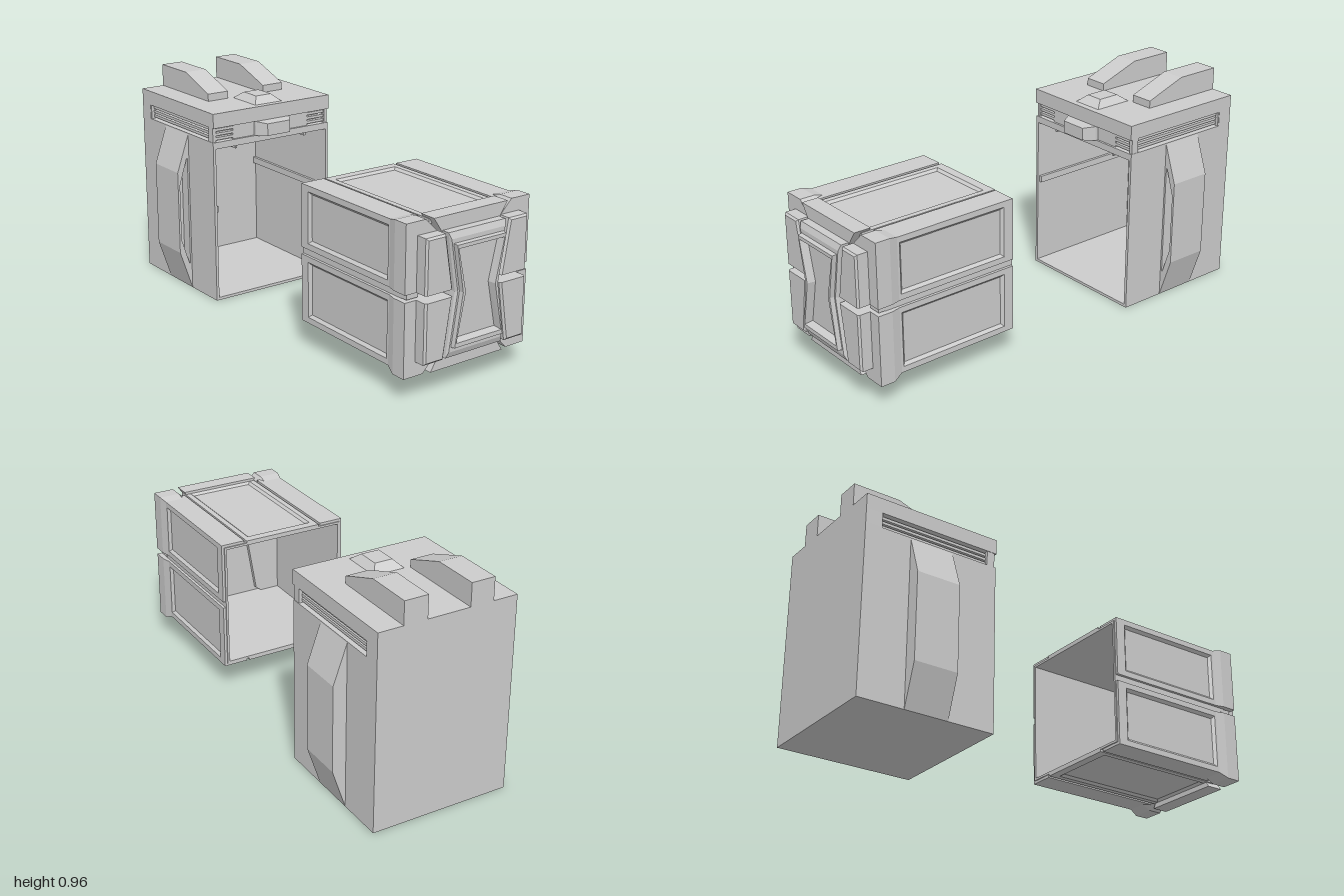
import * as THREE from 'three';

const material = new THREE.MeshStandardMaterial({ color: 0xcccccc });

// Closed solid through rings of equal point count; each ring is { z, pts }.
function loft(name, rings) {
  const area = rings[0].pts.reduce((a, p, i, all) => {
    const q = all[(i + 1) % all.length];
    return a + p[0] * q[1] - q[0] * p[1];
  }, 0);
  const loops = rings.map(({ z, pts }) => {
    const ordered = area < 0 ? [...pts].reverse() : pts;
    return ordered.map(([x, y]) => new THREE.Vector3(x, y, z));
  });
  const out = [];
  const tri = (a, b, c) => out.push(a, b, c);
  const n = loops[0].length;
  for (let k = 0; k < loops.length - 1; k++) {
    for (let i = 0; i < n; i++) {
      const j = (i + 1) % n, a = loops[k], b = loops[k + 1];
      tri(a[i], a[j], b[j]);
      tri(a[i], b[j], b[i]);
    }
  }
  const cap = (loop, flip) => {
    const flat = loop.map((v) => new THREE.Vector2(v.x, v.y));
    for (const [a, b, c] of THREE.ShapeUtils.triangulateShape(flat, [])) {
      if (flip) tri(loop[a], loop[c], loop[b]);
      else tri(loop[a], loop[b], loop[c]);
    }
  };
  cap(loops[0], true);
  cap(loops[loops.length - 1], false);
  const geometry = new THREE.BufferGeometry().setFromPoints(out);
  geometry.computeVertexNormals();
  const mesh = new THREE.Mesh(geometry, material);
  mesh.name = name;
  return mesh;
}

const rect = (x0, x1, y0, y1) => [[x0, y0], [x1, y0], [x1, y1], [x0, y1]];

function box(name, x0, x1, y0, y1, z0, z1) {
  const mesh = new THREE.Mesh(new THREE.BoxGeometry(Math.abs(x1 - x0), Math.abs(y1 - y0), z1 - z0), material);
  mesh.position.set((x0 + x1) / 2, (y0 + y1) / 2, (z0 + z1) / 2);
  mesh.name = name;
  return mesh;
}

// Slab facing +z whose face sinks into a bevelled recess.
function recessedPanel(name, w, h, t, rimX, rimY, depth) {
  const r = (dx, dy) => rect(-w / 2 + dx, w / 2 - dx, -h / 2 + dy, h / 2 - dy);
  return loft(name, [
    { z: -t, pts: r(0, 0) },
    { z: 0, pts: r(0, 0) },
    { z: 0, pts: r(rimX, rimY) },
    { z: -depth, pts: r(rimX + 0.012, rimY + 0.012) },
  ]);
}

// Waisted outline, symmetric in x.
const hourglass = (xEnd, xWaist, y0, y1) => [
  [-xEnd, y0], [xEnd, y0], [xWaist, 0.425], [xEnd, y1], [-xEnd, y1], [-xWaist, 0.425],
];

function createHousing() {
  const g = new THREE.Group();
  g.name = 'housing';

  // Open-fronted case
  g.add(loft('case', [
    { z: -1, pts: rect(-0.31, 0.31, 0, 0.735) },
    { z: -0.39, pts: rect(-0.31, 0.31, 0, 0.735) },
    { z: -0.39, pts: rect(-0.297, 0.297, 0.013, 0.705) },
    { z: -0.975, pts: rect(-0.297, 0.297, 0.013, 0.705) },
  ]));

  // Neck, ribs and lid
  g.add(box('neck', -0.2, 0.2, 0.73, 0.805, -1, -0.4));
  g.add(box('backNeck', -0.31, 0.31, 0.73, 0.805, -1, -0.93));
  g.add(box('lid', -0.31, 0.31, 0.8, 0.865, -1, -0.385));
  const tab = loft('frontTab', [
    { z: -0.42, pts: rect(-0.09, 0.09, 0.735, 0.8) },
    { z: -0.385, pts: rect(-0.09, 0.09, 0.735, 0.8) },
    { z: -0.335, pts: rect(-0.06, 0.06, 0.74, 0.795) },
  ]);
  g.add(tab);

  // Raised button on the lid
  const button = loft('lidButton', [
    { z: 0, pts: rect(-0.07, 0.07, -0.09, 0.09) },
    { z: 0.03, pts: rect(-0.04, 0.04, -0.05, 0.05) },
  ]);
  button.rotation.x = -Math.PI / 2;
  button.position.set(0, 0.865, -0.505);
  g.add(button);

  // Scoop side profile, drawn as (-z, y)
  const scoop = new THREE.Shape([[0.6, 0.86], [1, 0.86], [1, 0.965], [0.79, 0.965], [0.6, 0.898]]
    .map(([x, y]) => new THREE.Vector2(x, y)));

  for (const s of [-1, 1]) {
    for (let i = 0; i < 3; i++) {
      const y = 0.742 + i * 0.02;
      g.add(box('neckRib', s * 0.2, s * 0.295, y, y + 0.012, -0.94, -0.4));
    }
    g.add(box('neckSide', s * 0.2, s * 0.275, 0.73, 0.805, -0.94, -0.42));
    for (const z of [-0.41, -0.94]) g.add(box('neckPost', s * 0.292, s * 0.308, 0.73, 0.805, z - 0.02, z + 0.015));

    const scoopMesh = new THREE.Mesh(
      new THREE.ExtrudeGeometry(scoop, { depth: 0.105, bevelEnabled: false }), material);
    scoopMesh.name = 'lidScoop';
    scoopMesh.rotation.y = Math.PI / 2;
    scoopMesh.position.x = s > 0 ? 0.095 : -0.2;
    g.add(scoopMesh);

    // Side pod with a sunken front vent
    const outer = [[0.305, 0], [0.31, 0], [0.37, 0.18], [0.37, 0.56], [0.31, 0.73], [0.305, 0.73]];
    const inner = [[0.318, 0.12], [0.322, 0.12], [0.36, 0.24], [0.36, 0.5], [0.322, 0.62], [0.318, 0.62]];
    const side = (pts) => pts.map(([x, y]) => [s * x, y]);
    g.add(loft('sidePod', [
      { z: -0.795, pts: side(outer) },
      { z: -0.6, pts: side(outer) },
      { z: -0.6, pts: side(inner) },
      { z: -0.65, pts: side(inner) },
    ]));

    // Slide rails inside the case
    g.add(box('slideRail', s * 0.284, s * 0.299, 0.41, 0.44, -0.975, -0.4));
    g.add(box('topRail', s * 0.18, s * 0.19, 0.69, 0.71, -0.975, -0.4));
  }
  return g;
}

function createDrawer() {
  const g = new THREE.Group();
  g.name = 'drawer';

  // Hollow body, open at the back
  g.add(loft('drawerBody', [
    { z: 0.84, pts: rect(-0.278, 0.278, 0.142, 0.688) },
    { z: 0.25, pts: rect(-0.278, 0.278, 0.142, 0.688) },
    { z: 0.25, pts: rect(-0.288, 0.288, 0.132, 0.698) },
    { z: 0.88, pts: rect(-0.288, 0.288, 0.132, 0.698) },
  ]));

  // Recessed top and bottom panels
  for (const s of [-1, 1]) {
    const panel = recessedPanel(s > 0 ? 'topPanel' : 'bottomPanel', 0.36, 0.65, 0.02, 0.025, 0.04, 0.01);
    panel.rotation.x = -s * Math.PI / 2;
    panel.position.set(0, s > 0 ? 0.708 : 0.122, 0.575);
    g.add(panel);
  }

  // Four quarters: side panel, corner strip, collar and front block
  for (const sx of [-1, 1]) {
    for (const up of [true, false]) {
      const yMid = up ? 0.44 : 0.41, yEdge = up ? 0.71 : 0.12;
      const yCollar = up ? 0.72 : 0.1, yBlock = up ? 0.665 : 0.16;
      const height = Math.abs(yEdge - yMid);

      const panel = recessedPanel('sidePanel', 0.6, height, 0.02, 0.045, 0.025, 0.012);
      panel.rotation.y = sx * Math.PI / 2;
      panel.position.set(sx * 0.3, (yEdge + yMid) / 2, 0.555);
      g.add(panel);
      g.add(box('cornerStrip', sx * 0.19, sx * 0.3, yEdge, yEdge + (up ? -0.02 : 0.02), 0.255, 0.85));

      const collar = (x, y) => [[sx * x, yMid], [sx * x, y], [sx * 0.215, y],
        [sx * 0.16, yBlock], [sx * 0.12, yMid]];
      g.add(loft('frontCollar', [
        { z: 0.82, pts: collar(0.3, yEdge) },
        { z: 0.86, pts: collar(0.31, yCollar) },
        { z: 0.925, pts: collar(0.31, yCollar) },
      ]));
      const block = (x, d) => [[sx * x, yMid], [sx * x, yBlock + (up ? -d : d)],
        [sx * (0.158 + d), yBlock + (up ? -d : d)], [sx * (0.12 + d), yMid]];
      g.add(loft('frontBlock', [
        { z: 0.92, pts: block(0.255, 0) },
        { z: 0.972, pts: block(0.255, 0) },
        { z: 0.98, pts: block(0.247, 0.008) },
      ]));
    }
    g.add(box('grooveTab', sx * 0.235, sx * 0.29, 0.413, 0.437, 0.86, 0.91));
  }

  // Centre of the front: flared backing, waisted plate and raised frame
  g.add(loft('centreBacking', [0.86, 0.935].map((z) => ({
    z,
    pts: [[-0.185, 0.1], [0.185, 0.1], [0.145, 0.165], [0.105, 0.425], [0.145, 0.66], [0.185, 0.72],
      [-0.185, 0.72], [-0.145, 0.66], [-0.105, 0.425], [-0.145, 0.165]],
  }))));
  g.add(loft('centrePlate', [
    { z: 0.92, pts: hourglass(0.143, 0.105, 0.16, 0.665) },
    { z: 0.97, pts: hourglass(0.143, 0.105, 0.16, 0.665) },
    { z: 0.98, pts: hourglass(0.135, 0.098, 0.185, 0.64) },
    { z: 0.98, pts: hourglass(0.125, 0.09, 0.205, 0.622) },
    { z: 1, pts: hourglass(0.123, 0.088, 0.207, 0.62) },
    { z: 1, pts: hourglass(0.115, 0.075, 0.225, 0.605) },
    { z: 0.965, pts: hourglass(0.11, 0.07, 0.232, 0.598) },
  ]));
  return g;
}

export function createModel() {
  const model = new THREE.Group();
  model.name = 'caseWithDrawer';
  model.add(createHousing(), createDrawer());
  return model;
}
